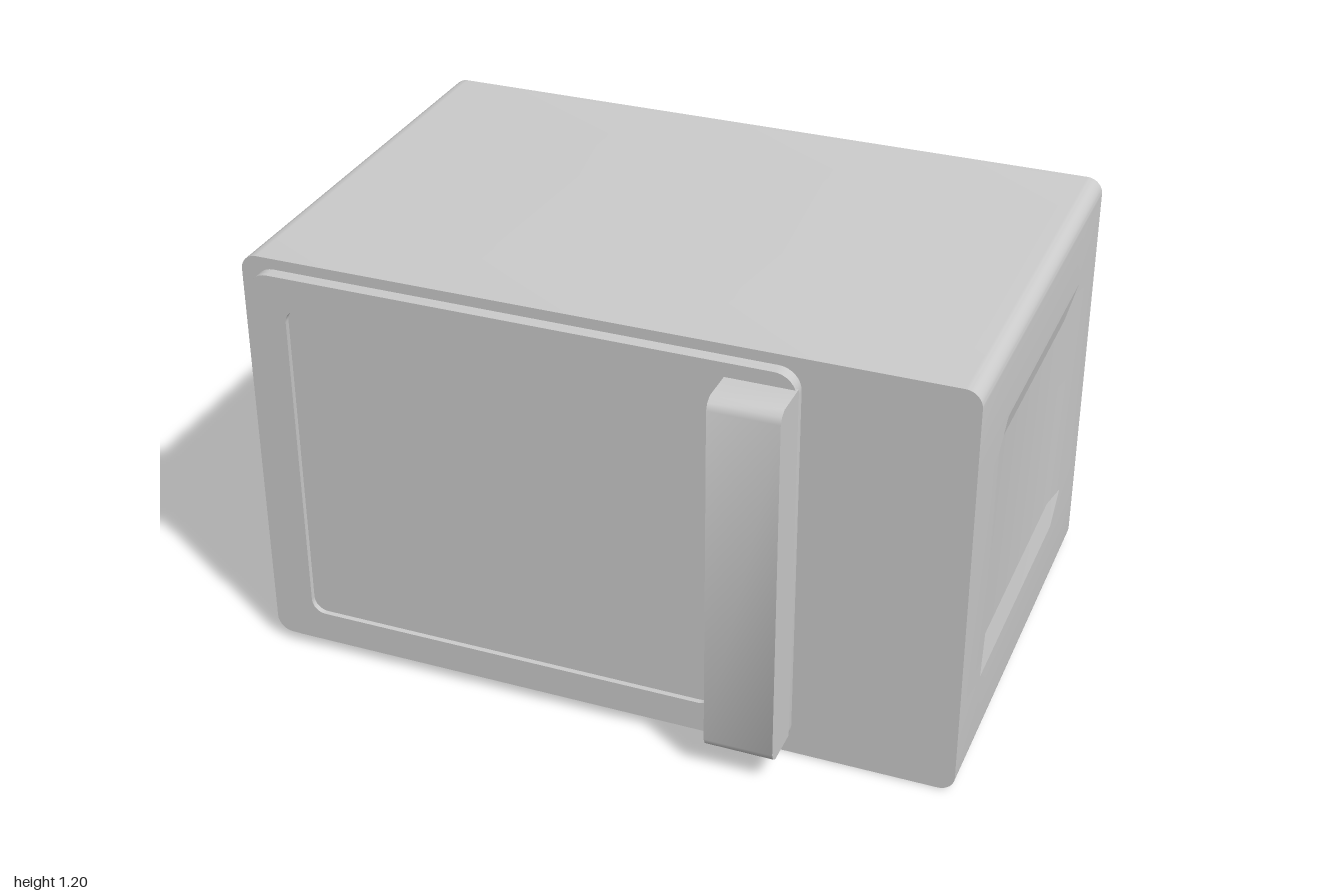
import * as THREE from 'three';
import { toCreasedNormals } from 'three/addons/utils/BufferGeometryUtils.js';

const material = new THREE.MeshStandardMaterial({ color: 0xcccccc });

function addPart(group, name, geometry) {
  const mesh = new THREE.Mesh(geometry, material);
  mesh.name = name;
  group.add(mesh);
}

// Counter-clockwise rounded rectangle; extra y stops are added along both upright sides.
function roundedPoints(x0, y0, x1, y1, r, segments = 8, stops = []) {
  const points = [];
  const corner = (cx, cy, start) => {
    for (let i = 0; i <= segments; i++) {
      const a = start + (i / segments) * Math.PI / 2;
      points.push(new THREE.Vector2(cx + r * Math.cos(a), cy + r * Math.sin(a)));
    }
  };
  corner(x1 - r, y0 + r, -Math.PI / 2);
  stops.forEach((y) => points.push(new THREE.Vector2(x1, y)));
  corner(x1 - r, y1 - r, 0);
  corner(x0 + r, y1 - r, Math.PI / 2);
  [...stops].reverse().forEach((y) => points.push(new THREE.Vector2(x0, y)));
  corner(x0 + r, y0 + r, Math.PI);
  return points;
}

// Flat plate between two depths, optionally pierced by rounded openings.
function plate(outline, z0, z1, holes = [], crease = 0.5) {
  const shape = new THREE.Shape(outline);
  holes.forEach((h) => shape.holes.push(new THREE.Path(h)));
  const geometry = new THREE.ExtrudeGeometry(shape, { depth: z1 - z0, bevelEnabled: false });
  geometry.translate(0, 0, z0);
  return toCreasedNormals(geometry, crease);
}

// Main shell, with a shallow sloped recess pressed into each side.
function shellGeometry() {
  const yStops = [0.23, 0.305, 0.9, 0.975];
  const zStops = [-0.685, -0.49, -0.4, 0.28, 0.37, 0.573];
  const outline = roundedPoints(-1, 0, 1, 1.2, 0.045, 10, yStops);
  const steps = zStops.length - 1;
  const geometry = new THREE.ExtrudeGeometry(new THREE.Shape(outline), { depth: steps, steps, bevelEnabled: false });
  const p = geometry.attributes.position;
  for (let i = 0; i < p.count; i++) {
    const z = zStops[Math.round(p.getZ(i))];
    const x = p.getX(i), y = p.getY(i);
    const pressed = y > 0.3 && y < 0.91 && z > -0.41 && z < 0.29 && Math.abs(x) > 0.99;
    p.setXYZ(i, pressed ? x - Math.sign(x) * 0.015 : x, y, z);
  }
  return toCreasedNormals(geometry, 0.17);
}

// Rear cover, tapering towards the back.
function rearCoverGeometry() {
  const geometry = new THREE.BoxGeometry(1.43, 1.02, 0.035);
  const p = geometry.attributes.position;
  for (let i = 0; i < p.count; i++) {
    if (p.getZ(i) < 0) {
      p.setX(i, p.getX(i) - Math.sign(p.getX(i)) * 0.03);
      p.setY(i, p.getY(i) - Math.sign(p.getY(i)) * 0.018);
    }
  }
  geometry.translate(-0.225, 0.6, -0.7145);
  geometry.computeVertexNormals();
  return geometry;
}

// Handle side profile, extruded across its width.
function handleGeometry() {
  const profile = [
    [0.6, 0.075], [0.706, 0.075], [0.724, 0.087], [0.732, 0.105],
    [0.732, 1.1], [0.724, 1.118], [0.706, 1.13], [0.6, 1.13],
  ].map(([z, y]) => new THREE.Vector2(-z, y)).reverse();
  const geometry = new THREE.ExtrudeGeometry(new THREE.Shape(profile), { depth: 0.19, bevelEnabled: false });
  geometry.rotateY(Math.PI / 2);
  geometry.translate(0.362, 0, 0);
  return toCreasedNormals(geometry, 0.7);
}

export function createModel() {
  const model = new THREE.Group();
  model.name = 'microwaveOven';

  addPart(model, 'bodyShell', shellGeometry());

  // Back plate with two recessed vent panels
  const vents = [0.09, 0.66].map((y) => roundedPoints(0.6, y, 0.96, y + 0.44, 0.025));
  addPart(model, 'backPlate', plate(roundedPoints(-1, 0, 1, 1.2, 0.045, 10), -0.7, -0.685, vents));
  addPart(model, 'rearCover', rearCoverGeometry());

  // Door with a recessed window
  const door = roundedPoints(-0.965, 0.03, 0.55, 1.17, 0.06);
  const windowOpening = roundedPoints(-0.86, 0.12, 0.34, 1.08, 0.04);
  addPart(model, 'doorPanel', plate(door, 0.57, 0.595));
  addPart(model, 'doorFrame', plate(door, 0.595, 0.61, [windowOpening]));
  addPart(model, 'doorHandle', handleGeometry());

  return model;
}
